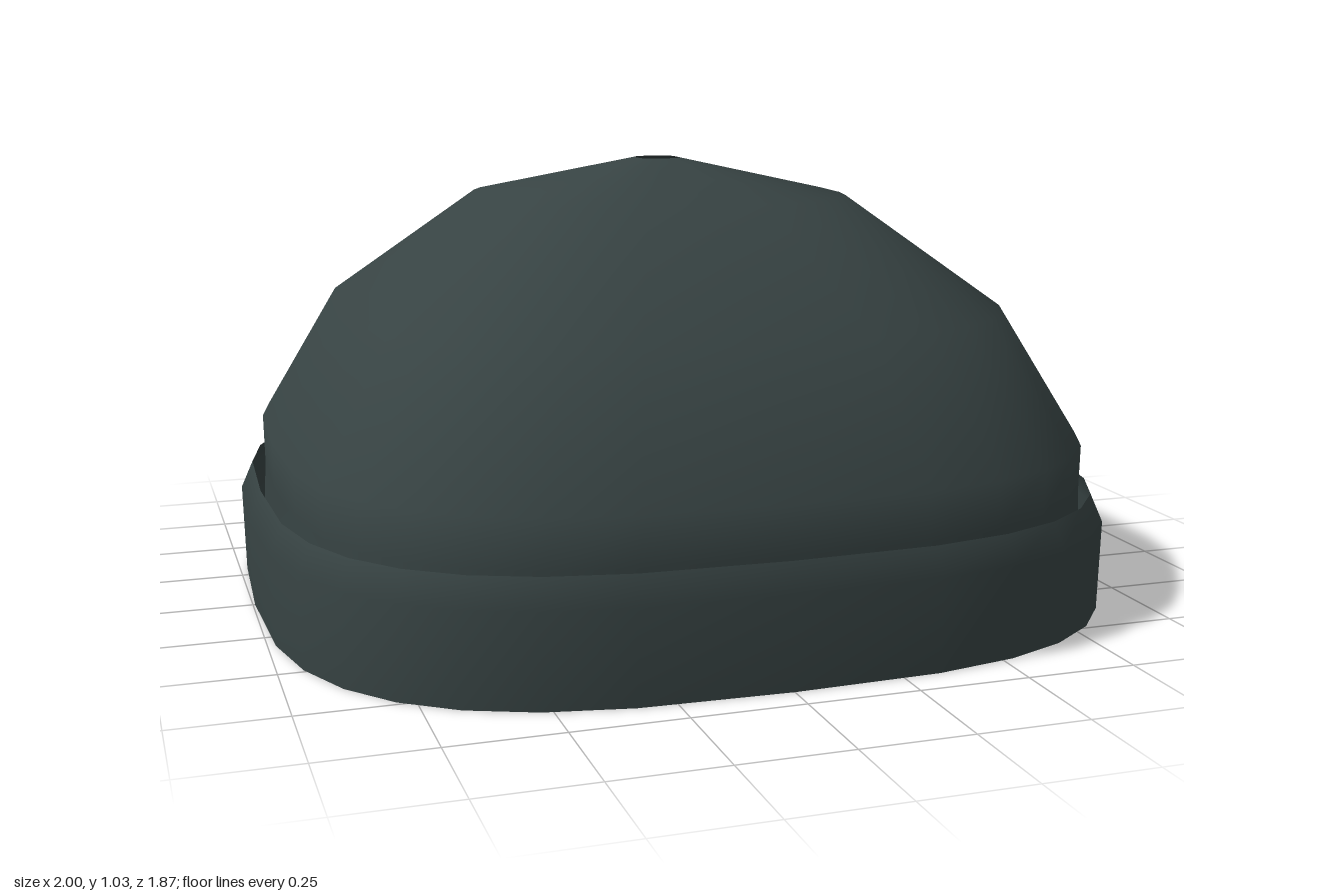
import * as THREE from 'three';

const SEGMENTS = 32;

// Smooth open shell lofted through rounded-square rings given as [halfWidth, halfDepth, y]
function loft(rings) {
  const positions = [];
  const indices = [];
  const soften = (v) => Math.sign(v) * Math.pow(Math.abs(v), 2 / 3);
  for (const [w, d, y] of rings) {
    for (let i = 0; i < SEGMENTS; i++) {
      const a = (i / SEGMENTS) * Math.PI * 2;
      positions.push(w * soften(Math.sin(a)), y, d * soften(Math.cos(a)));
    }
  }
  for (let r = 0; r < rings.length - 1; r++) {
    for (let i = 0; i < SEGMENTS; i++) {
      const j = (i + 1) % SEGMENTS;
      const a = r * SEGMENTS + i, b = r * SEGMENTS + j;
      const c = a + SEGMENTS, e = b + SEGMENTS;
      indices.push(a, b, e, a, e, c);
    }
  }
  const geometry = new THREE.BufferGeometry();
  geometry.setAttribute('position', new THREE.Float32BufferAttribute(positions, 3));
  geometry.setIndex(indices);
  geometry.computeVertexNormals();
  return geometry;
}

export function createModel() {
  const group = new THREE.Group();
  group.name = 'knitCap';

  const wool = new THREE.MeshStandardMaterial({ color: 0x374343, side: THREE.DoubleSide });
  wool.name = 'dark slate wool';

  // Crown: stepped dome with a small opening at the top
  const crown = new THREE.Mesh(loft([
    [0.952, 0.903, 0.03],
    [0.94, 0.9, 0.28],
    [0.942, 0.902, 0.39],
    [0.77, 0.73, 0.69],
    [0.43, 0.385, 0.945],
    [0.05, 0.05, 1.03],
  ]), wool);
  crown.name = 'crown';
  group.add(crown);

  // Cuff: loose turned-up band standing just clear of the crown
  const cuff = new THREE.Mesh(loft([
    [0.995, 0.93, 0],
    [1.0, 0.935, 0.21],
    [0.972, 0.913, 0.275],
  ]), wool);
  cuff.name = 'cuff';
  group.add(cuff);

  return group;
}
